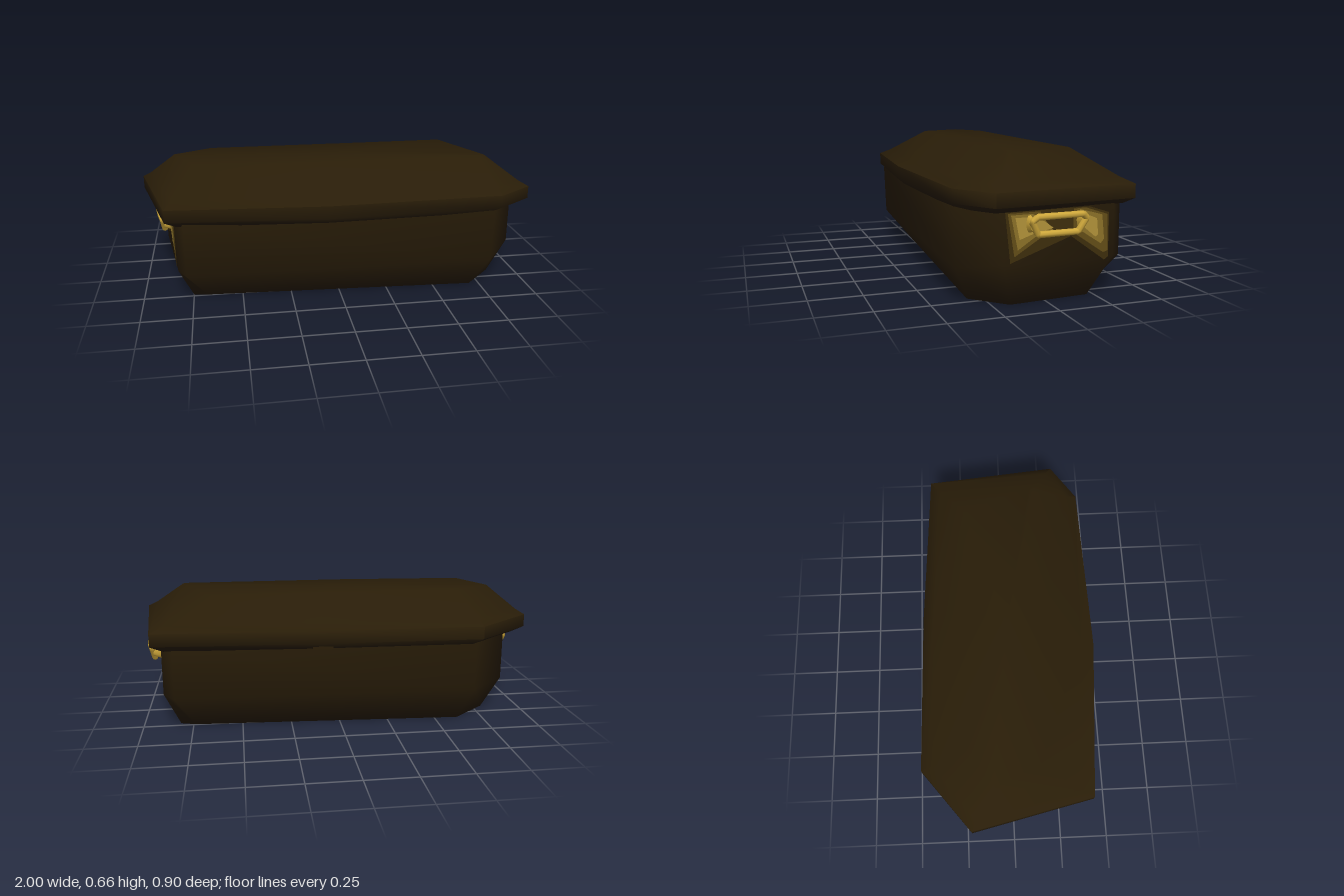
import * as THREE from 'three';
import { toCreasedNormals } from 'three/addons/utils/BufferGeometryUtils.js';

const mat = (name, color) => {
  const m = new THREE.MeshStandardMaterial({ color });
  m.name = name;
  return m;
};

// Closed skin over stacked rings of [x, z] points at a height y; a point may carry its own y
function loft(rings, crease) {
  const pos = [];
  const n = rings[0].pts.length;
  const P = (r, i) => { const [x, z, y = rings[r].y] = rings[r].pts[i % n]; return [x, y, z]; };
  const tri = (a, b, c) => pos.push(...a, ...b, ...c);
  for (let r = 0; r < rings.length - 1; r++) {
    for (let i = 0; i < n; i++) {
      tri(P(r, i), P(r + 1, i + 1), P(r, i + 1));
      tri(P(r, i), P(r + 1, i), P(r + 1, i + 1));
    }
  }
  const last = rings.length - 1;
  for (let i = 0; i < n; i++) {
    tri([0, rings[0].y, 0], P(0, i), P(0, i + 1));
    tri([0, rings[last].y, 0], P(last, i + 1), P(last, i));
  }
  const g = new THREE.BufferGeometry();
  g.setAttribute('position', new THREE.Float32BufferAttribute(pos, 3));
  return toCreasedNormals(g, crease);
}

const scaled = (pts, k) => pts.map(([x, z]) => [x * k, z * k]);
const mix = (a, b, t) => a.map(([x, z], i) => [x + (b[i][0] - x) * t, z + (b[i][1] - z) * t]);

export function createModel() {
  const model = new THREE.Group();
  model.name = 'chest';
  const wood = mat('dark wood', 0x291d08);
  const brass = mat('brass', 0xd0a93c);
  const tints = [
    mat('faint gilding', 0x3e2e0c),
    mat('dull gilding', 0x634d17),
    mat('mid gilding', 0x8c7228),
    mat('bright gilding', 0xb2933a),
  ];
  const add = (parent, name, geo, material) => {
    const m = new THREE.Mesh(geo, material);
    m.name = name;
    parent.add(m);
    return m;
  };

  // Body: skewed octagon that narrows towards the floor
  const foot = [[0.70, 0.32], [-0.68, 0.245], [-0.75, 0.235], [-0.80, -0.17],
    [-0.62, -0.32], [0.74, -0.245], [0.815, -0.22], [0.85, 0.17]];
  const wall = [[0.78, 0.395, 0.165], [-0.775, 0.375, 0.165], [-0.815, 0.31, 0.17], [-0.892, -0.2, 0.17],
    [-0.68, -0.405, 0.18], [0.83, -0.37, 0.18], [0.885, -0.31, 0.19], [0.927, 0.23, 0.2]];
  const wallTop = wall.map(([x, z]) => [x, z > 0.35 ? z * 1.025 : z]);
  add(model, 'body', loft([
    { y: 0, pts: foot }, { y: 0.17, pts: wall }, { y: 0.44, pts: wallTop },
  ], 1.3), wood);

  // Lid: overhanging rim, then a hipped roof up to a flat top
  const rim = [[0.81, 0.42], [-0.08, 0.448], [-0.86, 0.39], [-1, -0.21],
    [-0.70, -0.45], [0.1, -0.435], [0.93, -0.39], [1, 0.29]];
  const crown = [[0.765, 0.17], [-0.08, 0.17], [-0.72, 0.13], [-0.82, -0.1],
    [-0.63, -0.205], [0.1, -0.2], [0.65, -0.2], [0.795, 0.155]];
  add(model, 'lid', loft([
    { y: 0.425, pts: scaled(rim, 0.935) },
    { y: 0.455, pts: rim },
    { y: 0.519, pts: rim },
    { y: 0.546, pts: mix(rim, crown, 0.24) },
    { y: 0.663, pts: crown },
  ], 1.15), wood);

  // Small lip under the back of the rim
  const lip = add(model, 'backLip', new THREE.BoxGeometry(0.1, 0.014, 0.03), wood);
  lip.position.set(0.1, 0.43, -0.405);

  // Gilded patches as [z, y] outlines, from faintest to brightest
  const patches = [
    [0, [[0.228, 0.425], [0.203, 0.205], [-0.09, 0.3], [-0.262, 0.178], [-0.282, 0.19], [-0.283, 0.392], [-0.18, 0.425]]],
    [1, [[0.217, 0.42], [0.185, 0.232], [0.06, 0.305], [0.06, 0.42]]],
    [1, [[-0.1, 0.42], [-0.1, 0.315], [-0.255, 0.213], [-0.278, 0.22], [-0.272, 0.385], [-0.16, 0.422]]],
    [2, [[0.203, 0.412], [0.17, 0.26], [0.09, 0.31], [0.0, 0.335], [0.04, 0.38], [0.1, 0.412]]],
    [2, [[-0.13, 0.417], [-0.13, 0.325], [-0.24, 0.255], [-0.257, 0.275], [-0.245, 0.385]]],
    [3, [[0.183, 0.4], [0.163, 0.305], [0.1, 0.325], [0.0, 0.345], [0.08, 0.4]]],
    [3, [[-0.14, 0.402], [-0.14, 0.345], [-0.21, 0.288], [-0.224, 0.298], [-0.217, 0.37]]],
  ];
  // Handle ring as [outward, y, z]
  const ring = [[0.052, 0.405, 0.1], [0.052, 0.405, -0.12], [0.045, 0.385, -0.14],
    [0.034, 0.326, -0.106], [0.034, 0.326, 0.09], [0.045, 0.385, 0.122]]
    .map((p) => new THREE.Vector3(...p));
  const path = new THREE.CurvePath();
  ring.forEach((p, i) => path.add(new THREE.LineCurve3(p, ring[(i + 1) % ring.length])));

  // Handle and gilding for one end; local +x points out of the wall
  function endFittings(name, x, angle) {
    const end = new THREE.Group();
    end.name = name;
    for (const [level, pts] of patches) {
      const shape = new THREE.Shape(pts.map(([z, y]) => new THREE.Vector2(-z, y)));
      const plate = add(end, 'gilding', new THREE.ShapeGeometry(shape), tints[level]);
      plate.rotation.y = Math.PI / 2;
      plate.position.x = 0.003 + level * 0.002;
    }
    add(end, 'handleRing', new THREE.TubeGeometry(path, 72, 0.015, 8, true), brass);
    // Flared mounts, taller than wide, joining ring and wall
    for (const z of [0.115, -0.133]) {
      const lug = add(end, 'handleMount', new THREE.CylinderGeometry(0.026, 0.042, 0.04, 10), brass);
      lug.rotation.z = -Math.PI / 2;
      lug.scale.z = 0.45;
      lug.position.set(0.02, 0.37, z);
    }
    end.position.x = x;
    end.rotation.y = angle;
    model.add(end);
  }
  endFittings('leftHandle', 0.912, 0.078);
  endFittings('rightHandle', -0.862, Math.PI + 0.15);

  return model;
}
